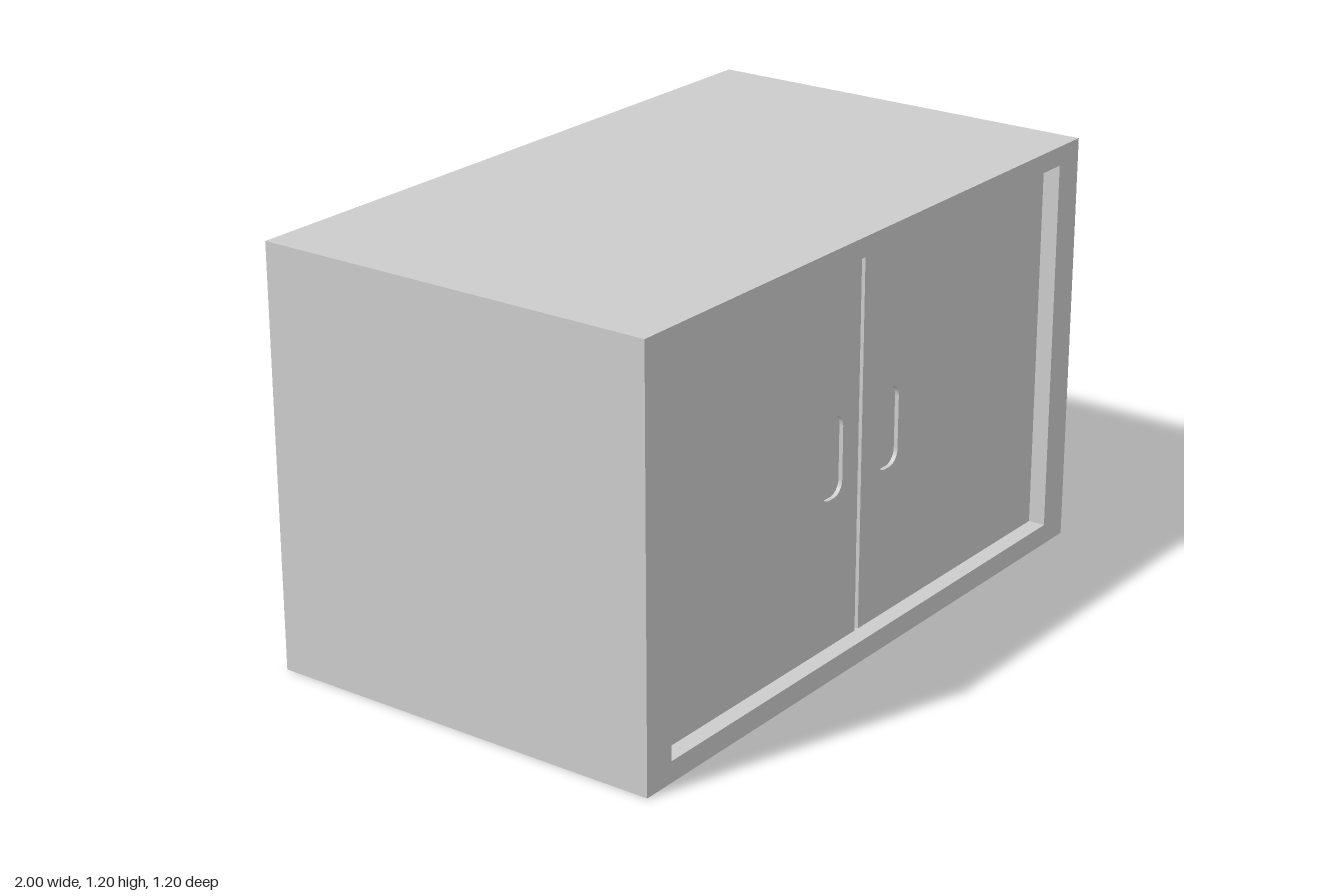
import * as THREE from 'three';

const material = new THREE.MeshStandardMaterial({ color: 0xcccccc });
const BACK_Z = 0.51, DOOR_Z = 0.55, FRONT_Z = 0.6;
const BOTTOM = 0.06, TOP = 1.145;

// Rounded rectangle outline; r = 0 gives square corners
function outline(Type, x0, x1, y0, y1, r = 0) {
  const p = new Type();
  if (!r) {
    return p.moveTo(x0, y0).lineTo(x1, y0).lineTo(x1, y1).lineTo(x0, y1).closePath();
  }
  p.absarc(x1 - r, y0 + r, r, -Math.PI / 2, 0);
  p.absarc(x1 - r, y1 - r, r, 0, Math.PI / 2);
  p.absarc(x0 + r, y1 - r, r, Math.PI / 2, Math.PI);
  p.absarc(x0 + r, y0 + r, r, Math.PI, Math.PI * 1.5);
  p.closePath();
  return p;
}

// Flat panel extruded between two depths
function panel(name, shape, z0, z1) {
  const geometry = new THREE.ExtrudeGeometry(shape, {
    depth: z1 - z0, bevelEnabled: false, curveSegments: 8,
  });
  geometry.translate(0, 0, z0);
  const mesh = new THREE.Mesh(geometry, material);
  mesh.name = name;
  return mesh;
}

// Door with a shallow finger pull sunk into its face
function door(name, x0, x1, pullX) {
  const group = new THREE.Group();
  group.name = name;
  const pull = [pullX - 0.05, pullX + 0.05, 0.485, 0.715, 0.04];
  const shape = outlineShape(x0, x1, BOTTOM, TOP);
  shape.holes.push(outline(THREE.Path, ...pull));
  group.add(panel(name + 'Panel', shape, BACK_Z, DOOR_Z));
  group.add(panel(name + 'FingerPull', outlineShape(...pull), BACK_Z, DOOR_Z - 0.012));
  return group;
}

function outlineShape(...args) {
  return outline(THREE.Shape, ...args);
}

export function createModel() {
  const model = new THREE.Group();
  model.name = 'cabinet';

  // Cabinet body behind the doors
  model.add(panel('body', outlineShape(-1, 1, 0, 1.2), -0.6, BACK_Z));

  // Front frame around the door opening
  const frame = outlineShape(-1, 1, 0, 1.2);
  frame.holes.push(outline(THREE.Path, -0.9, 0.9, BOTTOM, TOP));
  model.add(panel('frontFrame', frame, BACK_Z, FRONT_Z));

  // Pair of doors with a narrow gap between them
  model.add(door('rightDoor', -0.9, -0.012, -0.135));
  model.add(door('leftDoor', 0.004, 0.9, 0.13));

  return model;
}
